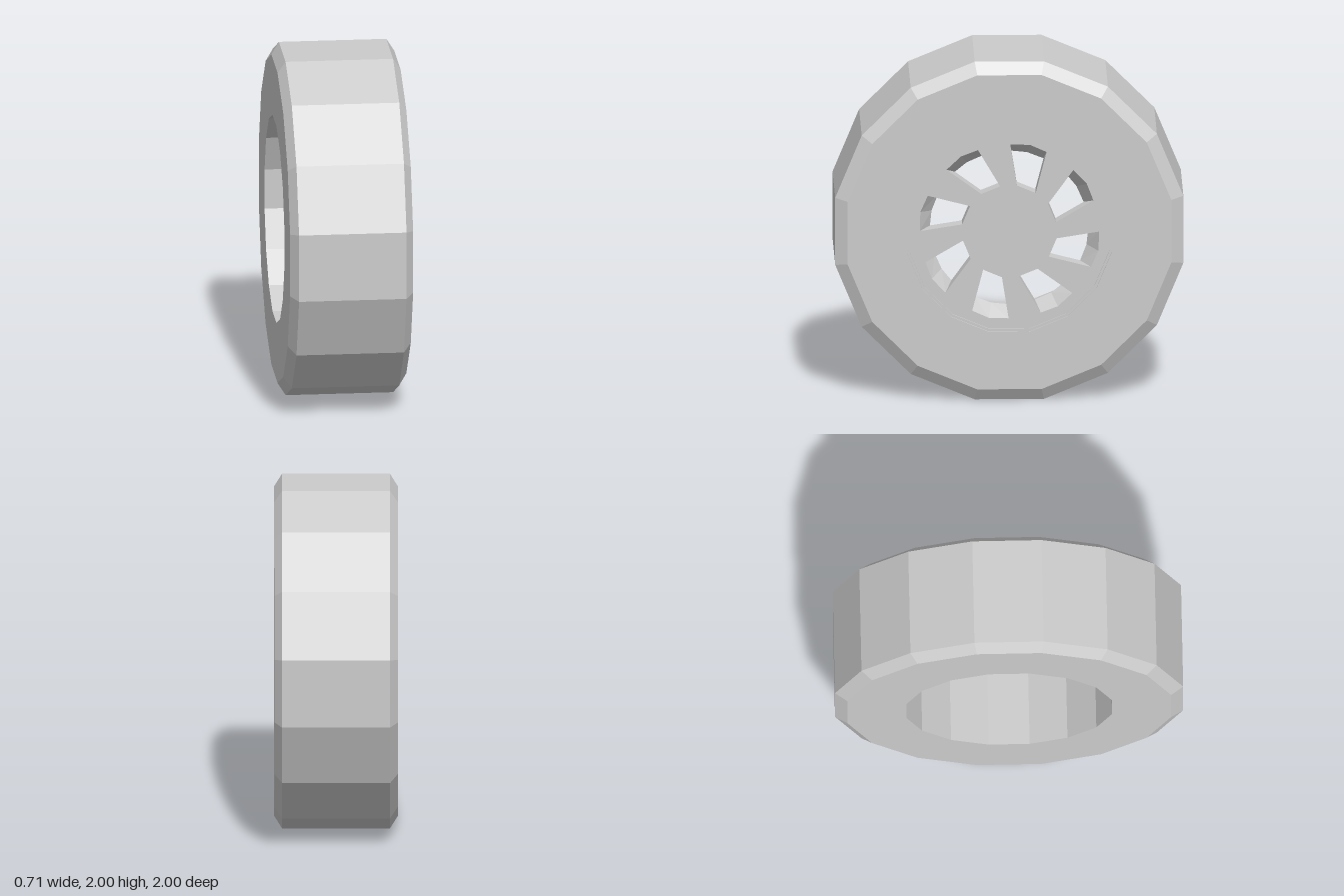
import * as THREE from 'three';

const SIDES = 16;
const CORNER = 1 / Math.cos(Math.PI / SIDES); // flat distance -> corner radius
const mat = new THREE.MeshStandardMaterial({ color: 0xcccccc, flatShading: true });

// Ring around the x axis from a closed profile of [flat distance, x]
function ring(name, profile) {
  const pts = [...profile, profile[0]].map(([r, x]) => new THREE.Vector2(r * CORNER, x));
  const geo = new THREE.LatheGeometry(pts, SIDES, Math.PI / SIDES);
  geo.rotateZ(-Math.PI / 2);
  const mesh = new THREE.Mesh(geo, mat);
  mesh.name = name;
  return mesh;
}

// Point at a clockwise angle from the top
function polar(deg, r) {
  const a = THREE.MathUtils.degToRad(deg);
  return new THREE.Vector2(Math.sin(a) * r, Math.cos(a) * r);
}

// Five-cornered, swept window; the back outline has a lower outer edge
function windowOutline(turn, back) {
  const [a, m, b, c, d] = [[0.5, 0.515], [13, 0.525], [24.5, 0.515], [33.7, 0.272], [9, 0.275]]
    .map(([deg, r]) => polar(deg + turn, r));
  if (back) {
    a.lerp(d, 0.25);
    b.lerp(c, 0.25);
    m.multiplyScalar(0.87);
  }
  return [a, m, b, c, d];
}

function wheelDisc(front, back, radius) {
  const group = new THREE.Group();
  group.name = 'wheelDisc';
  const add = (geo, name) => {
    const mesh = new THREE.Mesh(geo.rotateY(Math.PI / 2), mat);
    mesh.name = name;
    group.add(mesh);
  };
  const turns = Array.from({ length: 8 }, (_, i) => i * 45);

  // Front and back plates with eight windows
  const plate = (isBack) => {
    const shape = new THREE.Shape(Array.from({ length: SIDES }, (_, i) =>
      polar(-(i + 0.5) * 360 / SIDES, radius * CORNER)));
    for (const t of turns) shape.holes.push(new THREE.Path(windowOutline(t, isBack)));
    return new THREE.ShapeGeometry(shape);
  };
  add(plate(false).translate(0, 0, front), 'discFront');
  const backGeo = plate(true).translate(0, 0, back);
  const idx = backGeo.index.array;
  for (let i = 0; i < idx.length; i += 3) [idx[i], idx[i + 1]] = [idx[i + 1], idx[i]];
  backGeo.computeVertexNormals();
  add(backGeo, 'discBack');

  // Sloping walls of the windows
  const pos = [];
  for (const t of turns) {
    const p = windowOutline(t, false), q = windowOutline(t, true);
    p.forEach((_, i) => {
      const j = (i + 1) % p.length;
      const P = (k) => [p[k].x, p[k].y, front], Q = (k) => [q[k].x, q[k].y, back];
      pos.push(...P(i), ...Q(i), ...Q(j), ...P(i), ...Q(j), ...P(j));
    });
  }
  const walls = new THREE.BufferGeometry();
  walls.setAttribute('position', new THREE.Float32BufferAttribute(pos, 3));
  walls.computeVertexNormals();
  add(walls, 'windowWalls');
  return group;
}

export function createModel() {
  const model = new THREE.Group();
  model.name = 'wheel';
  const wheel = new THREE.Group();
  wheel.name = 'wheelAssembly';
  wheel.position.y = 1;

  // Tyre with bevelled shoulders and an open bore
  wheel.add(ring('tire', [
    [0.59, -0.355], [0.93, -0.355], [1, -0.31], [1, 0.31], [0.93, 0.355], [0.59, 0.355],
  ]));
  // Stepped rim holding the disc
  wheel.add(ring('rim', [
    [0.56, 0.24], [0.575, 0.24], [0.575, 0.225], [0.59, 0.225],
    [0.59, 0.345], [0.575, 0.345], [0.575, 0.335], [0.56, 0.335],
  ]));
  wheel.add(wheelDisc(0.335, 0.24, 0.56));

  model.add(wheel);
  return model;
}
